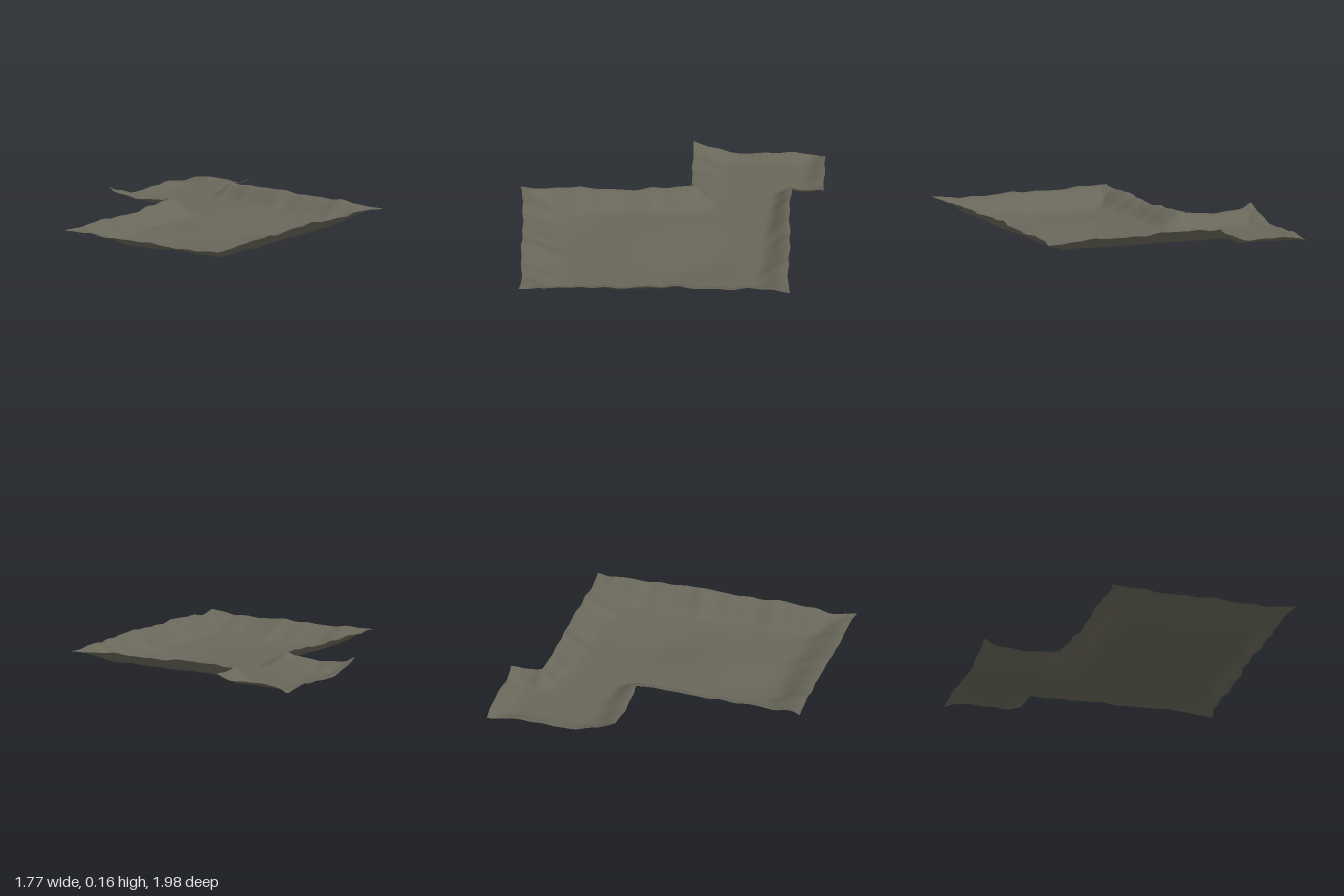
import * as THREE from 'three';

// Boundary runs: ends (x, z), outward direction, rim height at start, middle and end,
// slope width at start and end, waviness of the outline, corner flare
const edges = [
  { a: [-0.89, -0.985], b: [-0.36, -0.985], out: [0, -1], h: [0.045, 0.09, 0.12], w: [0.1, 0.17], wob: 0.006, flare: 0.005 },
  { a: [-0.36, -0.985], b: [-0.36, -0.77], out: [1, 0], h: [0.12, 0.12, 0.14], w: [0.1, 0.1], wob: 0.004, flare: 0 },
  { a: [-0.36, -0.77], b: [0.86, -0.77], out: [0, -1], h: [0.14, 0.14, 0.13], w: [0.13, 0.24], wob: 0.007, flare: 0.012 },
  { a: [0.86, -0.77], b: [0.86, 0.97], out: [1, 0], h: [0.13, 0.155, 0.14], w: [0.2, 0.17], wob: 0.011, flare: 0.02 },
  { a: [0.86, 0.97], b: [-0.36, 0.97], out: [0, 1], h: [0.14, 0.125, 0.12], w: [0.28, 0.28], wob: 0.006, flare: 0.015 },
  { a: [-0.36, 0.97], b: [-0.36, -0.13], out: [-1, 0], h: [0.13, 0.125, 0.14], w: [0.17, 0.17], wob: 0.01, flare: 0.02 },
  { a: [-0.36, -0.13], b: [-0.89, -0.13], out: [0, 1], h: [0.13, 0.105, 0.15], w: [0.18, 0.22], wob: 0.006, flare: 0 },
  { a: [-0.89, -0.13], b: [-0.89, -0.985], out: [-1, 0], h: [0.15, 0.065, 0.045], w: [0.14, 0.1], wob: 0.003, flare: 0 },
];

const bump = (x, z, cx, cz, rx, rz) => Math.exp(-(((x - cx) / rx) ** 2) - ((z - cz) / rz) ** 2);

// Evenly spaced ticks that always include the given stops
function ticks(stops, step) {
  const out = [stops[0]];
  for (let i = 1; i < stops.length; i++) {
    const n = Math.round((stops[i] - stops[i - 1]) / step);
    for (let k = 1; k <= n; k++) out.push(stops[i - 1] + ((stops[i] - stops[i - 1]) * k) / n);
  }
  return out;
}

// Low floor with shallow hollows, rising to an uneven rim along every edge
function place(x, z) {
  const floor = 0.046
    - 0.041 * bump(x, z, 0.4, -0.15, 0.25, 0.25)
    - 0.026 * bump(x, z, 0.02, 0.6, 0.25, 0.2)
    - 0.016 * bump(x, z, 0.35, 0.4, 0.35, 0.4)
    + 0.003 * Math.sin(7 * x + 2 * z) * Math.sin(6 * z - x);
  let y = floor, px = x, pz = z;
  edges.forEach((e, i) => {
    const ex = e.b[0] - e.a[0], ez = e.b[1] - e.a[1], len = Math.hypot(ex, ez);
    const t = THREE.MathUtils.clamp(((x - e.a[0]) * ex + (z - e.a[1]) * ez) / (len * len), 0, 1);
    const d = Math.hypot(x - e.a[0] - ex * t, z - e.a[1] - ez * t);
    const s = t * len;
    const ripple = Math.sin(s * 11 + i * 2) * 0.5 + Math.sin(s * 25 + i * 5) * 0.3 + Math.sin(s * 41 + i) * 0.2;
    const mid = Math.sin(Math.PI * t);
    const h = THREE.MathUtils.lerp(e.h[0], e.h[2], t) * (1 - mid) + e.h[1] * mid + 0.01 * ripple;
    const w = THREE.MathUtils.lerp(e.w[0], e.w[1], t) * (1 + 0.12 * ripple);
    const k = 1 - THREE.MathUtils.smoothstep(d, 0, w);
    y = Math.max(y, floor + (h - floor) * k);
    // ragged outline, flaring a little at the corners
    const near = Math.max(0, 1 - d / 0.12);
    const wave = Math.sin(s * 9 + i) * 0.6 + Math.sin(s * 29 + i * 3) * 0.5;
    const push = (e.wob * wave * Math.min(1, 6 * mid) + e.flare * (1 - Math.min(1, 6 * mid))) * near;
    px += e.out[0] * push;
    pz += e.out[1] * push;
  });
  return [px, y, pz];
}

export function createModel() {
  const ground = new THREE.MeshStandardMaterial({ color: 0x69675a, side: THREE.DoubleSide });
  ground.name = 'grey olive ground';

  const xs = ticks([-0.89, -0.36, 0.86], 0.018);
  const zs = ticks([-0.985, -0.77, -0.13, 0.97], 0.018);
  const positions = [], index = [];
  for (const z of zs) for (const x of xs) positions.push(...place(x, z));

  // Keep only the cells of the L-shaped plan
  const nx = xs.length;
  for (let j = 0; j < zs.length - 1; j++) {
    for (let i = 0; i < nx - 1; i++) {
      const x = (xs[i] + xs[i + 1]) / 2, z = (zs[j] + zs[j + 1]) / 2;
      if (x < -0.36 ? z > -0.13 : z < -0.77) continue;
      const a = j * nx + i, b = a + 1, c = a + nx, d = c + 1;
      index.push(a, c, b, b, c, d);
    }
  }
  const indexed = new THREE.BufferGeometry();
  indexed.setAttribute('position', new THREE.Float32BufferAttribute(positions, 3));
  indexed.setIndex(index);
  indexed.computeVertexNormals();
  const geometry = indexed.toNonIndexed();

  // Stand on the ground, centred
  geometry.computeBoundingBox();
  const box = geometry.boundingBox, mid = box.getCenter(new THREE.Vector3());
  geometry.translate(-mid.x, -box.min.y, -mid.z);

  const sheet = new THREE.Mesh(geometry, ground);
  sheet.name = 'terrainSheet';
  const group = new THREE.Group();
  group.name = 'terrain';
  group.add(sheet);
  return group;
}
